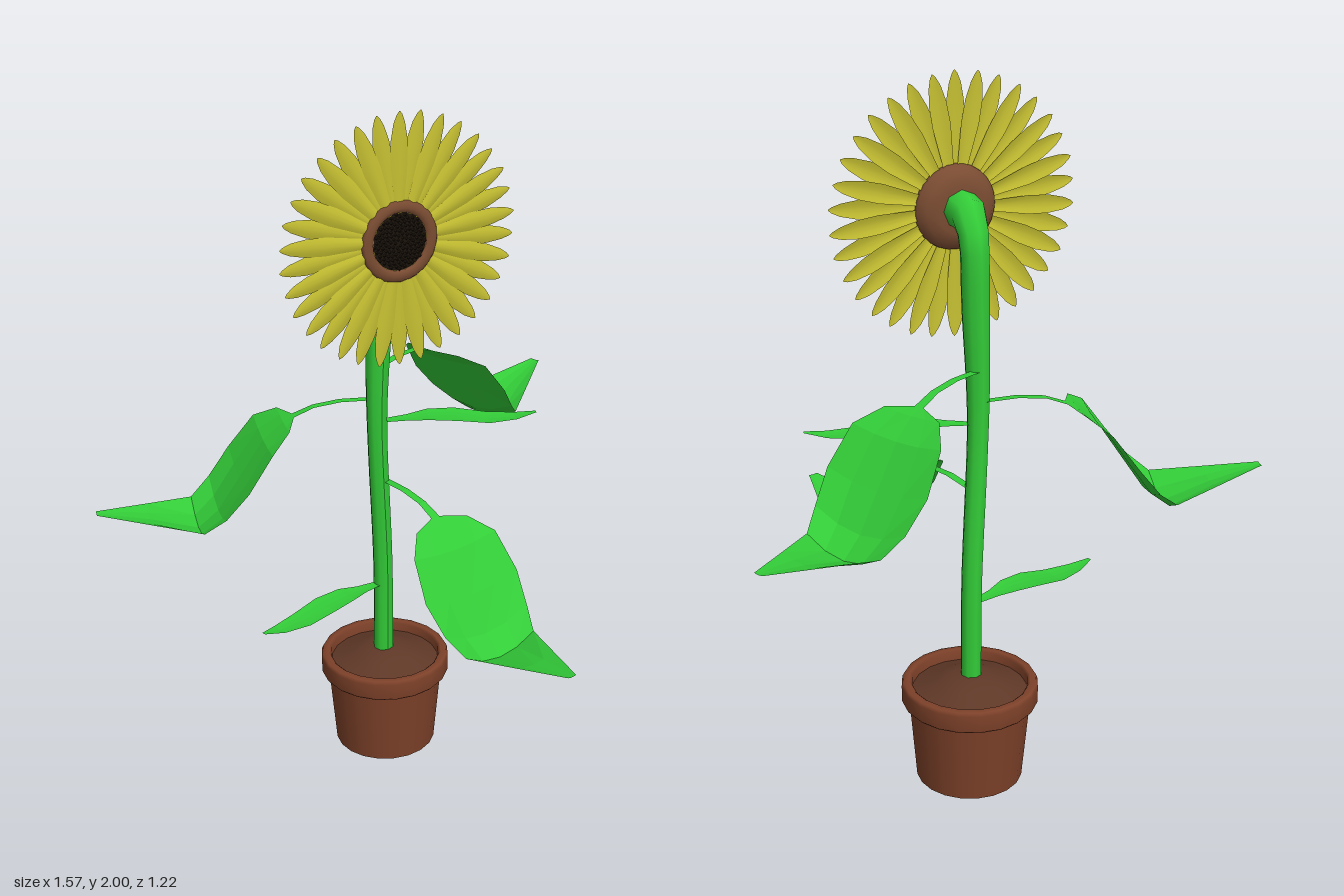
import * as THREE from 'three';
import { mergeGeometries } from 'three/addons/utils/BufferGeometryUtils.js';

const material = (color, extra = {}) => {
  const m = new THREE.MeshStandardMaterial({ color, ...extra });
  return m;
};

// Strip running along +z; rows are [distance, height, halfWidth, edgeLift].
function strip(rows, columns = 4) {
  const positions = [], index = [], n = columns + 1;
  rows.forEach(([s, y, w, lift], i) => {
    for (let j = 0; j < n; j++) {
      const v = (j / columns) * 2 - 1;
      positions.push(v * w, y + lift * v * v, s);
      if (i < rows.length - 1 && j < columns) {
        const a = i * n + j, b = a + n;
        index.push(a, b, a + 1, b, b + 1, a + 1);
      }
    }
  });
  const g = new THREE.BufferGeometry();
  g.setAttribute('position', new THREE.Float32BufferAttribute(positions, 3));
  g.setIndex(index);
  g.computeVertexNormals();
  return g;
}

// Stalk plus broad drooping blade with an upturned tip
const BIG_LEAF = [
  [0, 0.025, 0.012, 0], [0.1, 0.03, 0.012, 0], [0.18, 0.022, 0.012, 0], [0.24, 0, 0.014, 0],
  [0.27, -0.015, 0.09, 0.005], [0.33, -0.065, 0.145, 0.015], [0.405, -0.175, 0.164, 0.025],
  [0.47, -0.27, 0.148, 0.04], [0.53, -0.318, 0.122, 0.04], [0.67, -0.272, 0.07, 0.015],
  [0.82, -0.236, 0.014, 0.002],
];
// Narrow wavy leaf
const SMALL_LEAF = [
  [0, 0, 0.012, 0], [0.08, 0.003, 0.022, 0.002], [0.14, 0.007, 0.04, 0.003], [0.22, 0.002, 0.048, 0.003],
  [0.31, -0.014, 0.042, 0.003], [0.39, -0.014, 0.026, 0.002], [0.45, -0.003, 0.006, 0],
];

export function createModel() {
  const model = new THREE.Group();
  const green = material(0x33cc38);
  const leafGreen = material(0x33cc38, { flatShading: true, side: THREE.DoubleSide });
  const terracotta = material(0x7d4129);
  const soilBrown = material(0x5f3827);
  const ringBrown = material(0x7a4c32);
  const seedDark = material(0x1c140c, { flatShading: true });
  const yellow = material(0xc6c032, { side: THREE.DoubleSide });

  const add = (name, geometry, mat, parent = model) => {
    const mesh = new THREE.Mesh(geometry, mat);
    mesh.name = name;
    parent.add(mesh);
    return mesh;
  };
  const lathe = (profile, sides) =>
    new THREE.LatheGeometry(profile.map(([r, y]) => new THREE.Vector2(r, y)), sides);

  // Pot: tapered body, rounded rim and mounded soil
  const pot = new THREE.Group();
  pot.name = 'pot';
  pot.position.set(0.027, 0, -0.23);
  model.add(pot);
  add('potBody', new THREE.CylinderGeometry(0.172, 0.151, 0.24, 20).translate(0, 0.12, 0), terracotta, pot);
  add('potRim', lathe([
    [0.165, 0.236], [0.187, 0.236], [0.193, 0.243], [0.194, 0.29], [0.189, 0.3],
    [0.172, 0.302], [0.164, 0.295], [0.162, 0.26],
  ], 20), terracotta, pot);
  add('soil', lathe([[0.165, 0.27], [0.13, 0.282], [0.09, 0.3], [0.05, 0.315], [0, 0.318]], 20), soilBrown, pot);

  // Stem: tube that widens towards the bent neck
  const curve = new THREE.CatmullRomCurve3([
    [0.022, 0.27, -0.228], [0.022, 0.6, -0.228], [0.003, 1.1, -0.222], [0.013, 1.4, -0.223],
    [0.018, 1.57, -0.222], [0.018, 1.638, -0.198], [0.018, 1.648, -0.14],
  ].map((p) => new THREE.Vector3(...p)));
  const stemSteps = 28, stemSides = 8;
  const stem = new THREE.TubeGeometry(curve, stemSteps, 1, stemSides);
  const pos = stem.attributes.position, v = new THREE.Vector3();
  for (let i = 0; i < pos.count; i++) {
    const u = Math.floor(i / (stemSides + 1)) / stemSteps;
    const centre = curve.getPointAt(u);
    const radius = 0.03 + 0.01 * THREE.MathUtils.smoothstep(u, 0.5, 0.85)
      + 0.013 * THREE.MathUtils.smoothstep(u, 0.9, 1);
    v.fromBufferAttribute(pos, i).sub(centre).multiplyScalar(radius).add(centre);
    pos.setXYZ(i, v.x, v.y, v.z);
  }
  stem.computeVertexNormals();
  add('stem', stem, green);

  // Leaves: name, rows, start point, tip x and z
  const leaves = [
    ['rightLeaf', BIG_LEAF, [0, 1.115, -0.235], -0.785, -0.42],
    ['leftLeaf', BIG_LEAF, [0.01, 1.205, -0.238], 0.78, -0.605],
    ['frontLeaf', BIG_LEAF, [0.022, 0.86, -0.22], 0.152, 0.602],
    ['lowerSmallLeaf', SMALL_LEAF, [0.02, 0.538, -0.228], -0.415, -0.13],
    ['upperSmallLeaf', SMALL_LEAF, [0.01, 1.073, -0.222], 0.443, -0.068],
  ];
  for (const [name, rows, start, tipX, tipZ] of leaves) {
    const dx = tipX - start[0], dz = tipZ - start[2];
    const leaf = add(name, strip(rows), leafGreen);
    leaf.position.set(...start);
    leaf.rotation.y = Math.atan2(dx, dz);
    leaf.scale.z = Math.hypot(dx, dz) / rows[rows.length - 1][0];
  }

  // Flower head facing +z
  const head = new THREE.Group();
  head.name = 'flowerHead';
  head.position.set(0.018, 1.645, -0.108);
  model.add(head);

  // Petals alternate between a front and a back layer
  const petalCount = 34, petals = [];
  for (let i = 0; i < petalCount; i++) {
    const petal = strip([
      [0.08, 0, 0.012, -0.003], [0.15, 0.001, 0.019, -0.005], [0.22, 0.001, 0.026, -0.006],
      [0.28, 0.001, 0.025, -0.005], [0.325, 0, 0.017, -0.003], [0.348, 0, 0.008, -0.001], [0.357, 0, 0.001, 0],
    ]);
    petal.rotateX(Math.PI / 2).rotateZ((i / petalCount) * Math.PI * 2);
    petal.translate(0, 0, i % 2 ? 0.002 : -0.003);
    petals.push(petal);
  }
  add('petals', mergeGeometries(petals), yellow, head);

  // Brown cup with raised ring around the seeds
  add('flowerRing', lathe([
    [0, -0.044], [0.065, -0.043], [0.095, -0.032], [0.113, -0.012], [0.115, 0],
    [0.108, 0.006], [0.095, 0.009], [0.084, 0.006], [0.08, -0.001],
  ], 28).rotateX(Math.PI / 2), ringBrown, head);

  // Seed disc covered in a spiral of small seeds
  add('seedDisc', lathe([[0.083, 0], [0.05, 0.002], [0, 0.003]], 28).rotateX(Math.PI / 2), seedDark, head);
  const seeds = [];
  for (let i = 0; i < 130; i++) {
    const r = 0.078 * Math.sqrt((i + 0.5) / 130), a = i * 2.39996;
    seeds.push(new THREE.OctahedronGeometry(0.006).translate(Math.cos(a) * r, Math.sin(a) * r, 0.002));
  }
  add('seeds', mergeGeometries(seeds), seedDark, head);

  return model;
}
